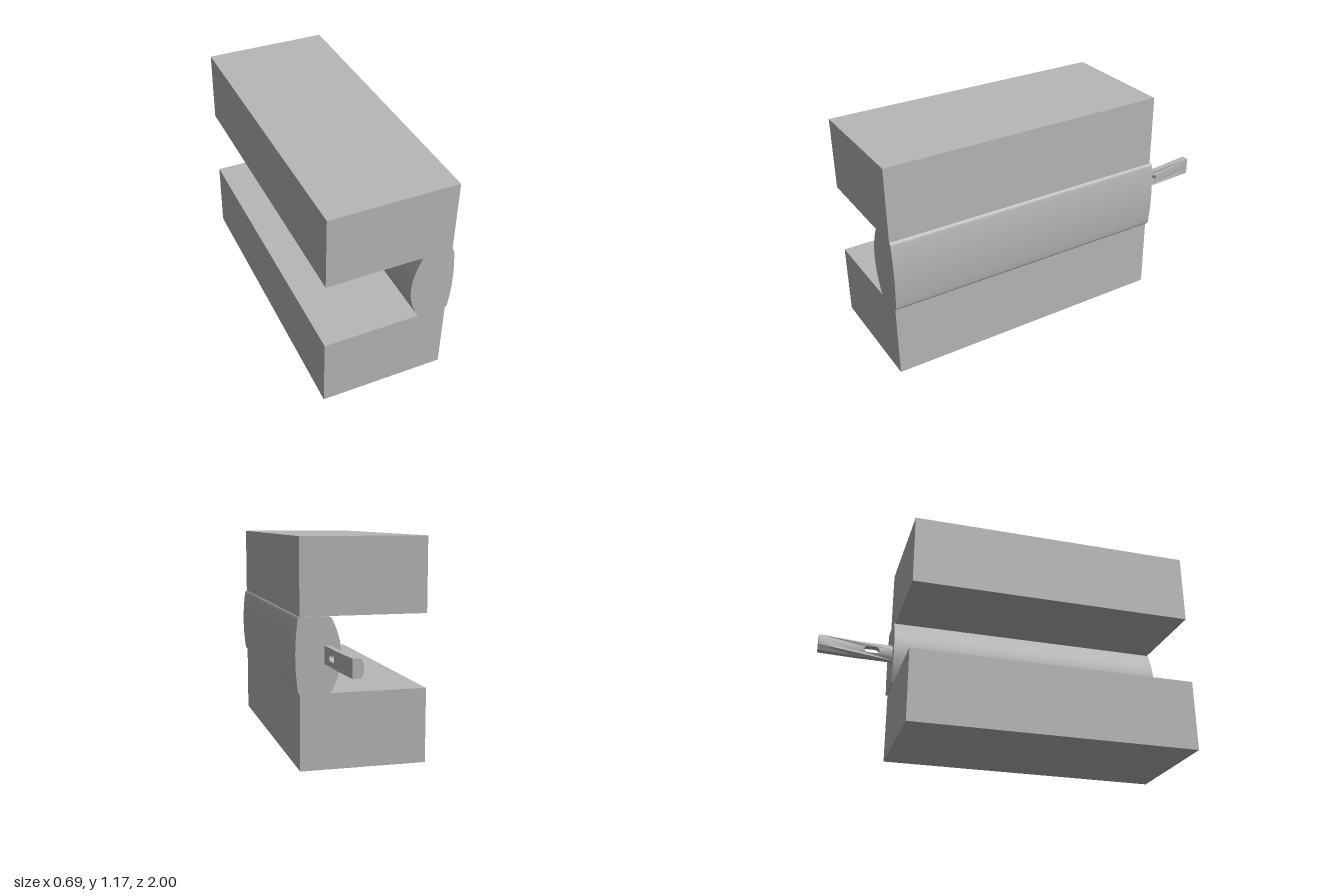
import * as THREE from 'three';
import { toCreasedNormals, mergeGeometries } from 'three/addons/utils/BufferGeometryUtils.js';

const steel = new THREE.MeshStandardMaterial({ color: 0xb8b8b8 });
steel.name = 'grey steel';

// Straight-line interpolation through [z, x] stations
function at(stations, z) {
  for (let i = 1; i < stations.length; i++) {
    const [z0, x0] = stations[i - 1], [z1, x1] = stations[i];
    if (z <= z1 || i === stations.length - 1) return x0 + (x1 - x0) * (z - z0) / (z1 - z0);
  }
}

// Tang edges in plan, measured backwards from the centre
const inner = [[0.57, 0.152], [0.7, 0.147], [0.77, 0.145], [0.86, 0.134], [1, 0.116]];
const outer = [[0.57, 0.195], [0.7, 0.189], [0.77, 0.189], [0.86, 0.183], [1, 0.172]];
const tangY = 0.589, tangHalf = 0.046;

// Contour in (distance back, height), thickened and bent to the tang's plan
function tangPiece(points) {
  const shape = new THREE.Shape(points.map(([u, v]) => new THREE.Vector2(u, v)));
  const geo = new THREE.ExtrudeGeometry(shape, { depth: 1, bevelEnabled: false });
  geo.rotateY(Math.PI / 2);
  const p = geo.attributes.position;
  for (let i = 0; i < p.count; i++) {
    const back = -p.getZ(i), dy = (p.getY(i) - tangY) / tangHalf;
    const a = at(inner, back) + 0.014 * dy * dy, b = at(outer, back);
    p.setX(i, a + (b - a) * p.getX(i));
  }
  geo.computeVertexNormals();
  return geo;
}

function band(y0, y1) {
  const us = inner.map((s) => s[0]);
  return tangPiece([...us.map((u) => [u, y0]), ...us.reverse().map((u) => [u, y1])]);
}

// Rounded slot end, going from angle a0 through half a turn
function slotEnd(u, r, a0) {
  return Array.from({ length: 9 }, (_, i) => {
    const a = a0 + Math.PI * i / 8;
    return [u + r * Math.cos(a), tangY + r * Math.sin(a)];
  });
}

function buildTang() {
  const r = 0.018, lo = tangY - r, hi = tangY + r;
  const pieces = [band(tangY - tangHalf, lo), band(hi, tangY + tangHalf)];
  // Solid web before and after the slot
  pieces.push(tangPiece([[0.57, hi], [0.57, lo], ...slotEnd(0.677, r, Math.PI / 2).reverse()]));
  pieces.push(tangPiece([[0.77, lo], [0.86, lo], [1, lo], [1, hi], [0.86, hi], [0.77, hi],
    ...slotEnd(0.728, r, -Math.PI / 2).reverse()]));
  return toCreasedNormals(mergeGeometries(pieces), 0.5);
}

export function createModel() {
  const model = new THREE.Group();
  model.name = 'blockAssembly';
  const add = (name, geo) => {
    const mesh = new THREE.Mesh(geo, steel);
    mesh.name = name;
    model.add(mesh);
    return mesh;
  };

  // Two long blocks, one above the other
  add('lowerBlock', new THREE.BoxGeometry(0.665, 0.393, 1.576)).position.set(-0.0135, 0.1965, 0.212);
  add('upperBlock', new THREE.BoxGeometry(0.665, 0.392, 1.576)).position.set(-0.0135, 0.976, 0.212);

  // Bulged bar held between the blocks, with softened corners
  const s = new THREE.Shape();
  s.moveTo(0.172, 0.392);
  s.lineTo(0.32, 0.392);
  s.quadraticCurveTo(0.329, 0.394, 0.332, 0.418);
  s.quadraticCurveTo(0.354, 0.586, 0.332, 0.754);
  s.quadraticCurveTo(0.329, 0.778, 0.32, 0.78);
  s.lineTo(0.172, 0.78);
  s.quadraticCurveTo(0.161, 0.779, 0.15, 0.754);
  s.quadraticCurveTo(0.068, 0.586, 0.15, 0.418);
  s.quadraticCurveTo(0.161, 0.393, 0.172, 0.392);
  const bar = new THREE.ExtrudeGeometry(s, { depth: 1.585, bevelEnabled: false, curveSegments: 16 });
  bar.translate(0, 0, -0.585);
  add('bulgedBar', toCreasedNormals(bar, 0.5));

  // Slightly bent, slotted tang at the back
  add('slottedTang', buildTang());
  return model;
}
